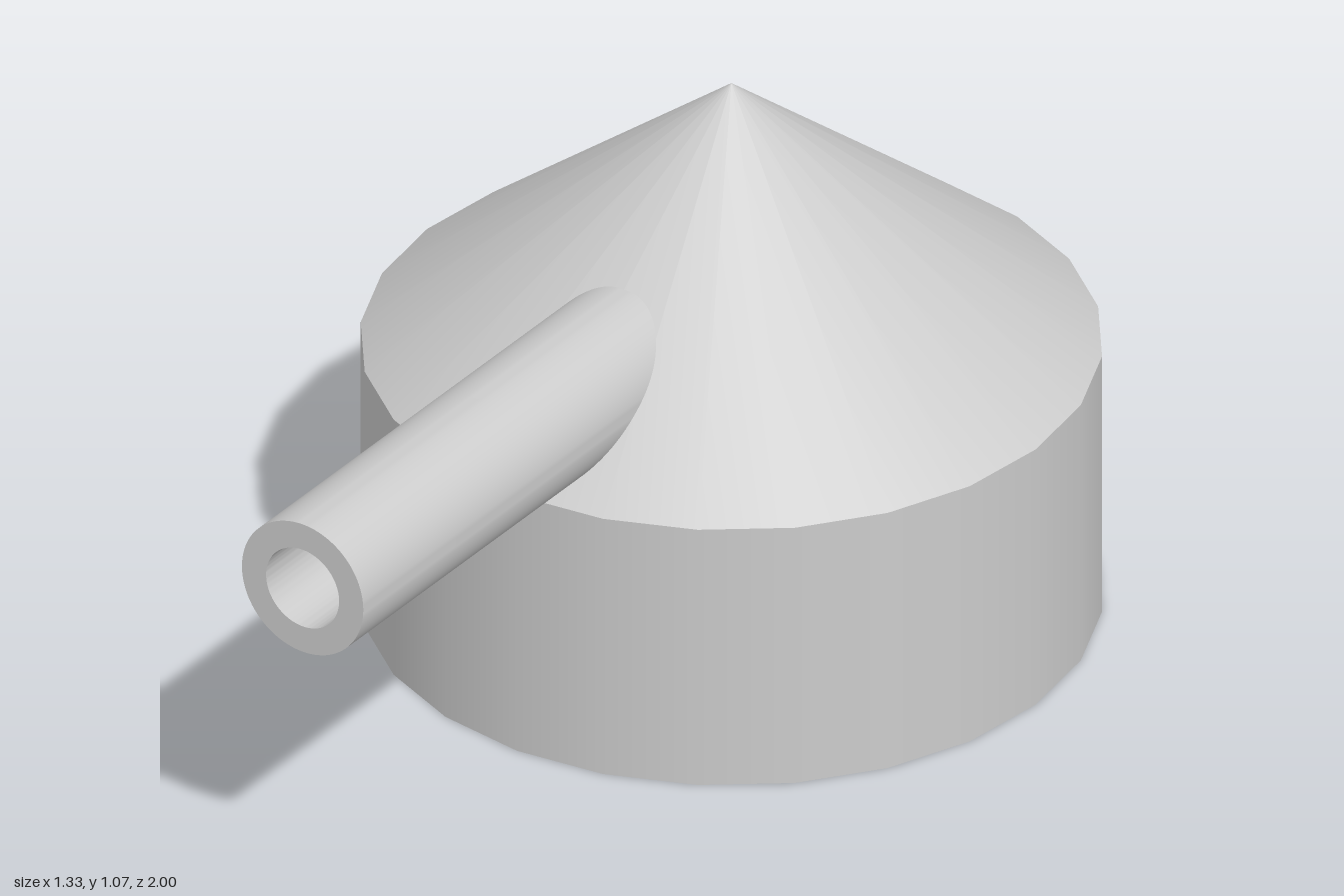
import * as THREE from 'three';
import { toCreasedNormals } from 'three/addons/utils/BufferGeometryUtils.js';

export function createModel() {
  const model = new THREE.Group();
  const material = new THREE.MeshStandardMaterial({ color: 0xcccccc });
  const radius = 2 / 3, wallHeight = 0.533, roofHeight = 0.535, centreZ = -1 / 3, sides = 24;

  const add = (name, geometry, x, y, z) => {
    const mesh = new THREE.Mesh(geometry, material);
    mesh.name = name;
    mesh.position.set(x, y, z);
    model.add(mesh);
  };

  // Round drum and the cone that sits flush on it
  add('drum', new THREE.CylinderGeometry(radius, radius, wallHeight, sides), 0, wallHeight / 2, centreZ);
  add('coneRoof', new THREE.ConeGeometry(radius, roofHeight, sides, 1, true), 0, wallHeight + roofHeight / 2, centreZ);

  // Hollow pipe running forward out of the cone
  const ring = new THREE.Shape().absarc(0, 0, 0.133, 0, Math.PI * 2, false);
  ring.holes.push(new THREE.Path().absarc(0, 0, 0.08, 0, Math.PI * 2, true));
  const pipe = new THREE.ExtrudeGeometry(ring, { depth: 1, bevelEnabled: false, curveSegments: 48 });
  add('pipe', toCreasedNormals(pipe, 0.6), 0, 0.667, 0);

  return model;
}
